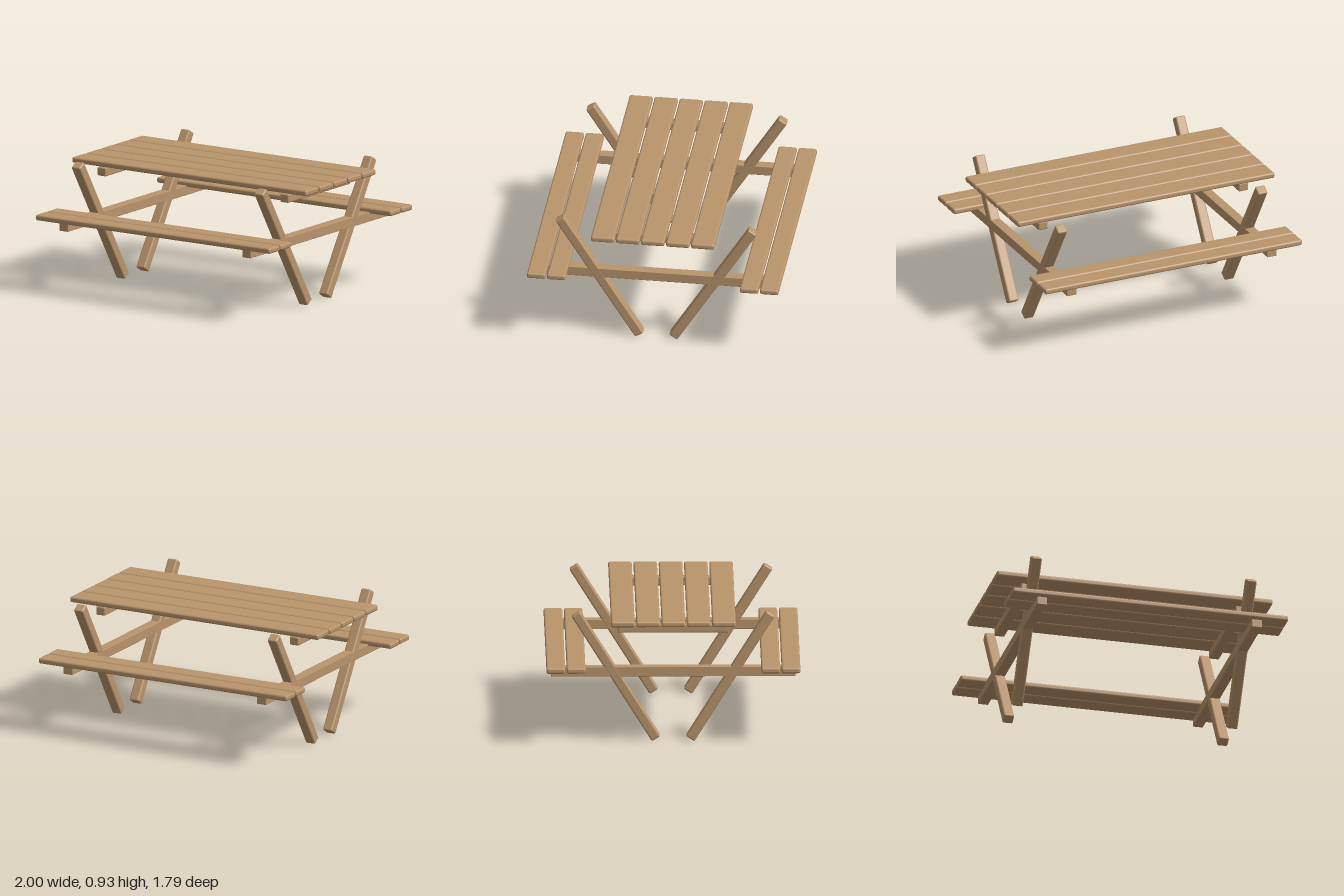
import * as THREE from 'three';
import { RoundedBoxGeometry } from 'three/addons/geometries/RoundedBoxGeometry.js';

export function createModel() {
  const model = new THREE.Group();
  model.name = 'picnicTable';
  const wood = new THREE.MeshStandardMaterial({ color: 0xb9946c });
  wood.name = 'wood';

  // One softened timber, sized and placed by its centre
  function timber(name, size, position, radius, tilt = 0) {
    const mesh = new THREE.Mesh(new RoundedBoxGeometry(...size, 3, radius), wood);
    mesh.name = name;
    mesh.position.set(...position);
    mesh.rotation.x = tilt;
    model.add(mesh);
  }

  // Five tabletop planks
  for (let i = -2; i <= 2; i++) {
    timber('tabletopPlank', [2, 0.041, 0.166], [0, 0.879, i * 0.178], 0.014);
  }

  // Two planks for each bench
  for (const side of [-1, 1]) {
    for (const z of [0.685, 0.828]) {
      timber('benchPlank', [2, 0.041, 0.132], [0, 0.545, side * z], 0.014);
    }
  }

  // End frames: tabletop support, bench beam and two legs leaning outwards
  for (const x of [-0.779, 0.779]) {
    timber('tabletopSupport', [0.074, 0.062, 0.78], [x, 0.811, 0], 0.01);
    timber('benchBeam', [0.073, 0.07, 1.72], [x, 0.501, 0], 0.004);
    for (const side of [-1, 1]) {
      timber('leg', [0.075, 1.062, 0.07], [x, 0.465, side * 0.403], 0.012, side * 0.562);
    }
  }

  return model;
}
